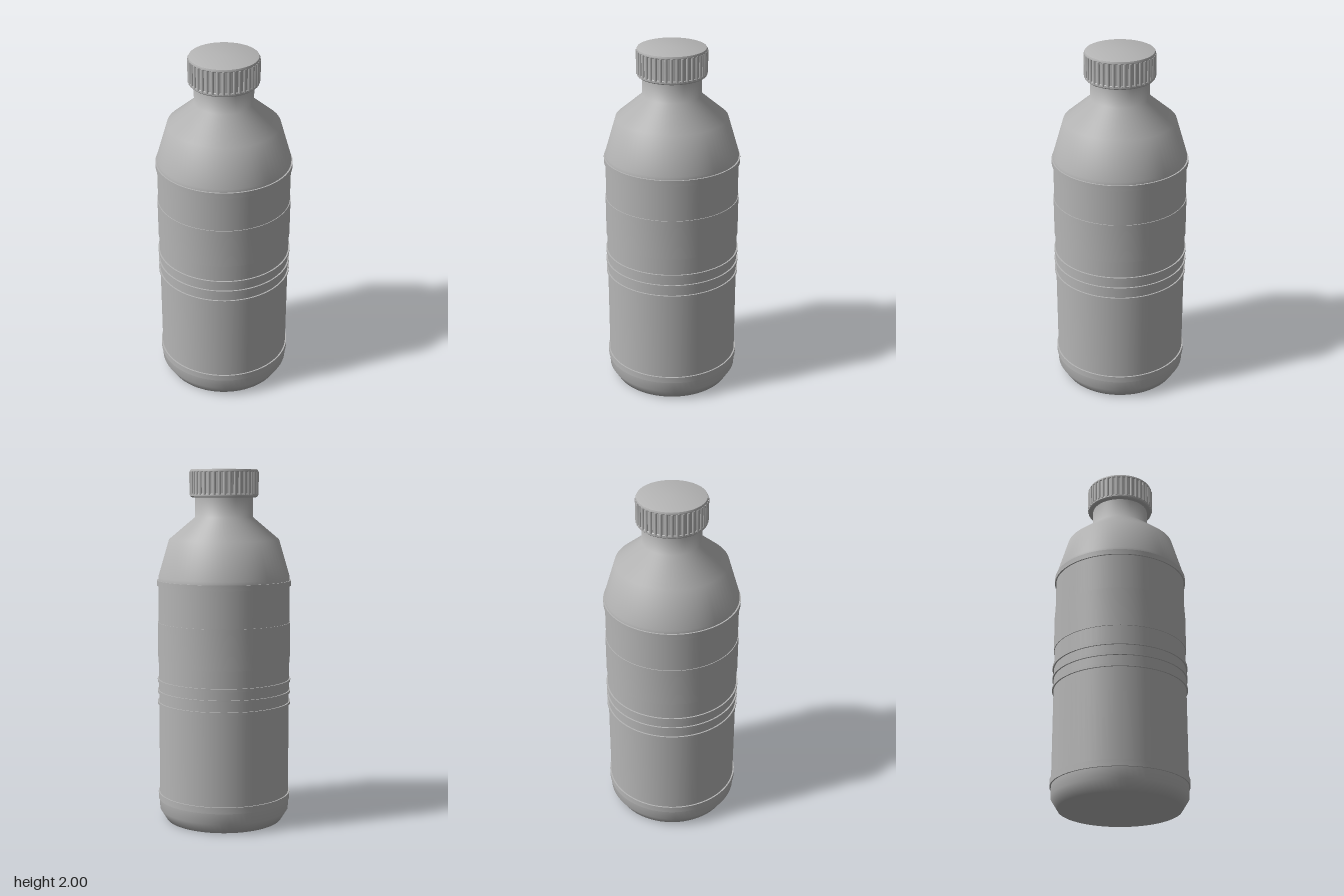
import * as THREE from 'three';
import { toCreasedNormals } from 'three/addons/utils/BufferGeometryUtils.js';

const SEGMENTS = 72;

const lathe = (profile) =>
  new THREE.LatheGeometry(profile.map(([r, y]) => new THREE.Vector2(r, y)), SEGMENTS);

// Square-edged hoop that sits on the body wall
const hoop = (radius, y0, y1) =>
  toCreasedNormals(lathe([[0.368, y0], [radius, y0], [radius, y1], [0.368, y1]]), 0.6);

export function createModel() {
  const model = new THREE.Group();
  model.name = 'bottle';
  const grey = new THREE.MeshStandardMaterial({ color: 0xb5b5b5 });
  grey.name = 'grey plastic';

  const add = (parent, name, geometry) => {
    const mesh = new THREE.Mesh(geometry, grey);
    mesh.name = name;
    parent.add(mesh);
    return mesh;
  };

  // Body with chamfered foot, straight wall, sloping shoulder and neck
  add(model, 'body', lathe([
    [0, 0], [0.335, 0], [0.372, 0.06], [0.372, 0.14], [0.372, 0.68], [0.372, 1.365],
    [0.372, 1.4], [0.31, 1.61], [0.162, 1.735], [0.162, 1.86],
  ]));

  // Raised rings and the wide label panel
  const rings = [
    ['footRing', 0.38, 0.122, 0.158],
    ['lowerGripRing', 0.38, 0.676, 0.69],
    ['middleGripRing', 0.38, 0.742, 0.756],
    ['upperGripRing', 0.38, 0.804, 0.82],
    ['labelPanel', 0.376, 0.917, 1.145],
    ['shoulderRing', 0.38, 1.352, 1.382],
  ];
  for (const [name, radius, y0, y1] of rings) add(model, name, hoop(radius, y0, y1));

  // Screw cap with softened rims
  const cap = new THREE.Group();
  cap.name = 'cap';
  model.add(cap);
  add(cap, 'capShell', toCreasedNormals(lathe([
    [0.16, 1.845], [0.184, 1.845], [0.19, 1.851], [0.19, 1.862], [0.186, 1.866],
    [0.186, 1.982], [0.19, 1.986], [0.19, 1.992], [0.187, 1.998], [0.182, 2], [0, 2],
  ]), 0.7));

  // Grip ribs around the cap
  const ribCount = 40;
  const ribGeometry = new THREE.CylinderGeometry(0.009, 0.009, 0.128, 8);
  for (let i = 0; i < ribCount; i++) {
    const a = (i / ribCount) * Math.PI * 2;
    const rib = add(cap, 'capRib', ribGeometry);
    rib.position.set(Math.sin(a) * 0.1855, 1.922, Math.cos(a) * 0.1855);
    rib.rotation.y = a;
  }

  return model;
}
